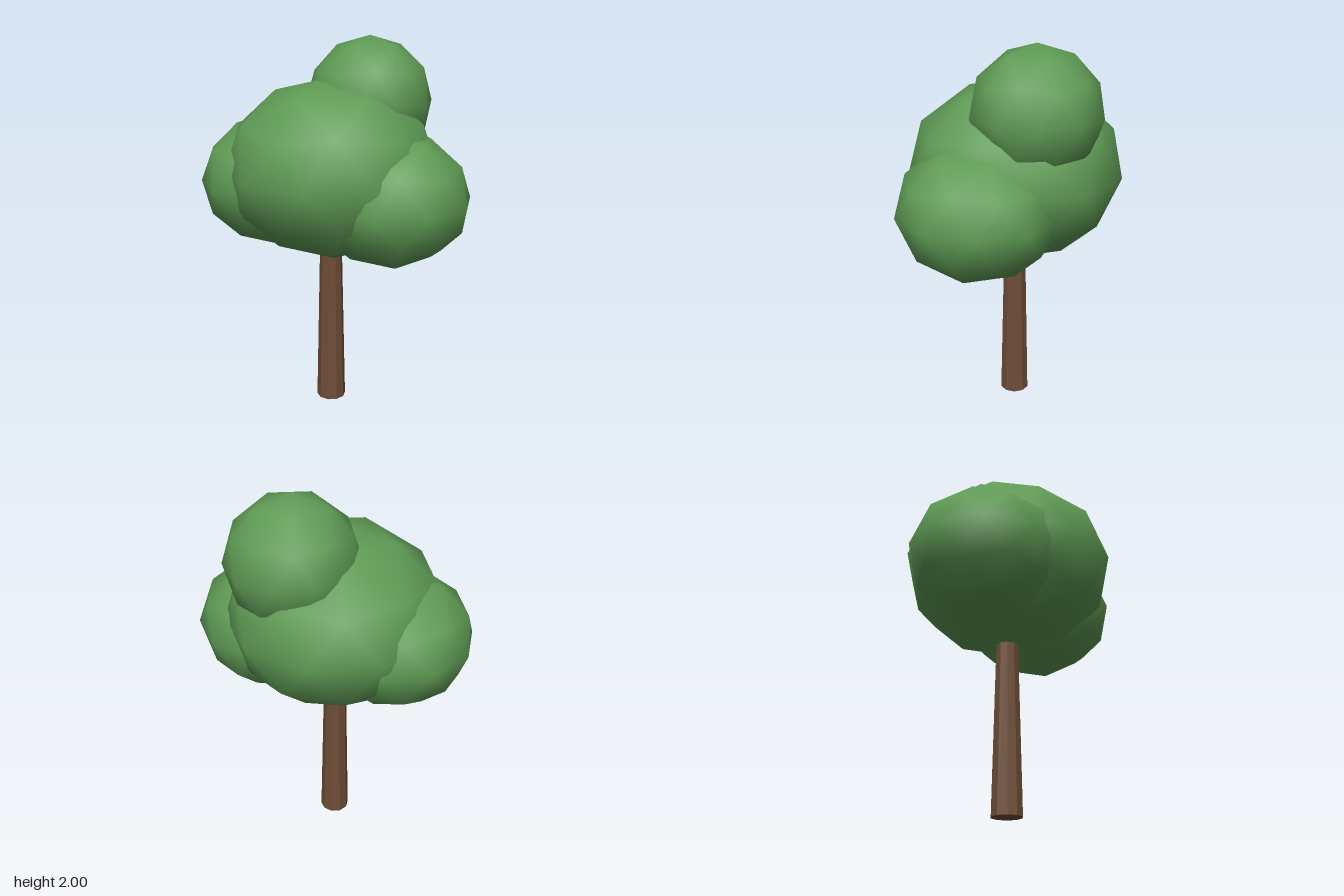
import * as THREE from 'three';

// Unit icosphere with its poles on the y axis and smooth normals
function icosphere() {
  const verts = [0, 1, 0];
  const y = 1 / Math.sqrt(5), r = 2 / Math.sqrt(5);
  for (const [offset, h] of [[0, y], [Math.PI / 5, -y]]) {
    for (let k = 0; k < 5; k++) {
      const a = offset + (k * 2 * Math.PI) / 5;
      verts.push(r * Math.cos(a), h, -r * Math.sin(a));
    }
  }
  verts.push(0, -1, 0);
  const faces = [];
  for (let k = 0; k < 5; k++) {
    const n = (k + 1) % 5;
    const u = 1 + k, un = 1 + n, l = 6 + k, ln = 6 + n;
    faces.push(0, u, un, u, l, un, l, ln, un, 11, ln, l);
  }
  return new THREE.PolyhedronGeometry(verts, faces, 1, 1);
}

export function createModel() {
  const tree = new THREE.Group();
  tree.name = 'tree';

  const leafGreen = new THREE.MeshStandardMaterial({ color: 0x5f9b55 });
  leafGreen.name = 'leafGreen';
  const barkBrown = new THREE.MeshStandardMaterial({ color: 0x6f4e37, flatShading: true });
  barkBrown.name = 'barkBrown';

  // Tapered trunk, its top hidden in the foliage
  const trunk = new THREE.Mesh(new THREE.CylinderGeometry(0.057, 0.08, 1, 10), barkBrown);
  trunk.name = 'trunk';
  trunk.position.set(-0.03, 0.5, 0);
  tree.add(trunk);

  // Foliage clumps: name, centre, horizontal radius, vertical radius
  const clumps = [
    ['mainFoliage', [-0.03, 1.335, 0], 0.56, 0.465],
    ['leftFoliage', [0.28, 1.21, -0.13], 0.415, 0.35],
    ['rightFoliage', [-0.3, 1.25, 0.16], 0.395, 0.35],
    ['topFoliage', [0.01, 1.67, -0.23], 0.33, 0.33],
  ];
  for (const [name, centre, r, ry] of clumps) {
    const clump = new THREE.Mesh(icosphere().scale(r, ry, r), leafGreen);
    clump.name = name;
    clump.position.set(...centre);
    tree.add(clump);
  }
  return tree;
}
